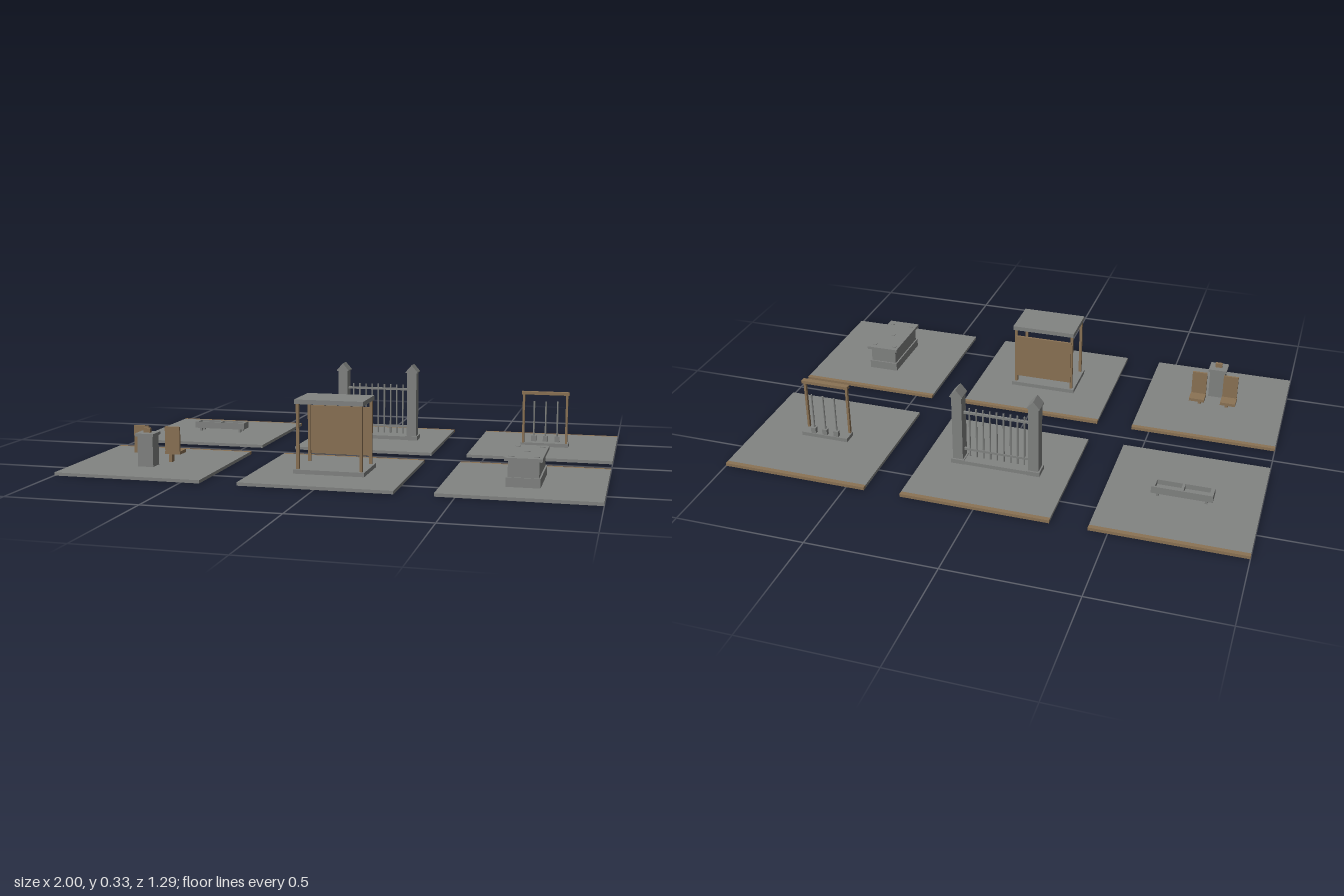
import * as THREE from 'three';

const stone = new THREE.MeshStandardMaterial({ color: 0x828482 });
stone.name = 'grey stone';
const wood = new THREE.MeshStandardMaterial({ color: 0x8b7355 });
wood.name = 'brown wood';

const P = 0.714, Q = 0.357, TOP = 0.012;

function add(parent, name, geometry, material) {
  const mesh = new THREE.Mesh(geometry, material);
  mesh.name = name;
  parent.add(mesh);
  return mesh;
}

// Box given by its centre in x and z, and its bottom and top in y
function block(parent, name, material, x, z, w, d, y0, y1) {
  const mesh = add(parent, name, new THREE.BoxGeometry(w, y1 - y0, d), material);
  mesh.position.set(x, (y0 + y1) / 2, z);
  return mesh;
}

function rod(parent, name, material, x, z, r, y0, y1) {
  const mesh = add(parent, name, new THREE.CylinderGeometry(r, r, y1 - y0, 8), material);
  mesh.position.set(x, (y0 + y1) / 2, z);
  return mesh;
}

// Square floor tile with a wooden strip along its back edge
function tile(root, name, x, z) {
  const g = new THREE.Group();
  g.name = name;
  g.position.set(x, 0, z);
  root.add(g);
  block(g, 'floor', stone, 0, 0.009, 0.572, 0.554, 0, TOP);
  block(g, 'backStrip', wood, 0, -0.277, 0.572, 0.018, 0, TOP);
  return g;
}

function buildTrough(g) {
  block(g, 'troughFloor', stone, 0, 0, 0.228, 0.058, 0.026, 0.034);
  for (const s of [-1, 1]) {
    block(g, 'troughSide', stone, 0, s * 0.0255, 0.228, 0.007, 0.034, 0.054);
    block(g, 'troughEnd', stone, s * 0.107, 0, 0.014, 0.044, 0.034, 0.054);
    for (const t of [-1, 1]) block(g, 'troughFoot', stone, s * 0.09, t * 0.018, 0.01, 0.01, TOP, 0.026);
  }
  block(g, 'troughDivider', stone, 0, 0, 0.01, 0.044, 0.034, 0.054);
}

function buildGate(g) {
  block(g, 'gateBase', stone, 0, -0.001, 0.35, 0.056, TOP, 0.027);
  // Gabled cap with its ridge running front to back
  const gable = new THREE.Shape([[-0.025, 0], [0.025, 0], [0.025, 0.004], [0, 0.033], [-0.025, 0.004]]
    .map(([x, y]) => new THREE.Vector2(x, y)));
  const capGeo = new THREE.ExtrudeGeometry(gable, { depth: 0.058, bevelEnabled: false });
  for (const s of [-1, 1]) {
    block(g, 'pillarFoot', stone, s * 0.15, 0, 0.052, 0.062, TOP, 0.03);
    block(g, 'pillar', stone, s * 0.15, 0, 0.04, 0.048, 0.03, 0.3);
    add(g, 'pillarCap', capGeo, stone).position.set(s * 0.15, 0.3, -0.029);
  }
  for (const y of [0.062, 0.222]) block(g, 'gateRail', stone, 0, 0, 0.26, 0.009, y, y + 0.009);
  for (let i = 0; i < 9; i++) rod(g, 'gateBar', stone, -0.108 + i * 0.027, 0, 0.0035, 0.036, 0.246);
}

function buildToolStand(g) {
  block(g, 'standBase', stone, 0, 0.015, 0.194, 0.056, TOP, 0.027);
  for (const s of [-1, 1]) block(g, 'standPost', wood, s * 0.088, 0.036, 0.009, 0.012, 0.027, 0.229);
  block(g, 'standBeam', wood, 0, 0.033, 0.194, 0.022, 0.228, 0.24);
  // Upright rods with small heads on the base
  for (const x of [-0.048, 0, 0.048]) {
    rod(g, 'toolRod', stone, x, 0.002, 0.0035, 0.027, 0.196);
    block(g, 'toolHead', stone, x, -0.002, 0.02, 0.016, 0.027, 0.05);
  }
}

function buildLectern(g) {
  block(g, 'lecternColumn', stone, 0, 0.08, 0.062, 0.056, TOP, 0.129);
  block(g, 'lecternTop', stone, 0, 0.082, 0.074, 0.068, 0.129, 0.14);
  block(g, 'lecternBook', wood, 0, 0.082, 0.028, 0.014, 0.14, 0.157);
}

function buildChair(g, s) {
  const c = new THREE.Group();
  c.name = 'chair';
  c.position.set(s * 0.064, 0, -0.032);
  g.add(c);
  block(c, 'seat', wood, 0, 0, 0.062, 0.06, 0.042, 0.054);
  block(c, 'chairBack', wood, 0, 0.026, 0.06, 0.009, 0.054, 0.15);
  block(c, 'chairLeg', wood, -s * 0.008, 0.02, 0.012, 0.024, TOP, 0.042);
}

function buildCanopy(g) {
  block(g, 'canopyBase', stone, 0, 0, 0.27, 0.186, TOP, 0.028);
  block(g, 'canopyRoof', stone, 0, 0, 0.26, 0.176, 0.271, 0.288);
  for (const s of [-1, 1])
    for (const t of [-1, 1]) block(g, 'canopyPost', wood, s * 0.12, t * 0.077, 0.011, 0.011, 0.028, 0.271);
  block(g, 'backBoard', wood, 0, -0.083, 0.238, 0.009, 0.058, 0.243);
}

function buildAltar(g) {
  block(g, 'plinth', stone, 0, 0.001, 0.122, 0.25, TOP, 0.046);
  block(g, 'altarBody', stone, 0, 0.001, 0.11, 0.238, 0.046, 0.105);
  block(g, 'altarSlab', stone, 0, 0, 0.134, 0.264, 0.105, 0.117);
  // Five thin discs set on the slab
  for (const [x, z] of [[0, 0], [-0.045, -0.1], [0.045, -0.1], [-0.045, 0.1], [0.045, 0.1]])
    add(g, 'slabDisc', new THREE.CylinderGeometry(0.01, 0.01, 0.002, 16), stone).position.set(x, 0.118, z);
}

export function createModel() {
  const root = new THREE.Group();
  root.name = 'courtyardSet';
  buildTrough(tile(root, 'troughTile', -P, -Q));
  buildGate(tile(root, 'gateTile', 0, -Q));
  buildToolStand(tile(root, 'toolStandTile', P, -Q));
  const seating = tile(root, 'seatingTile', -P, Q);
  buildLectern(seating);
  for (const s of [-1, 1]) buildChair(seating, s);
  buildCanopy(tile(root, 'canopyTile', 0, Q));
  buildAltar(tile(root, 'altarTile', P, Q));
  return root;
}
